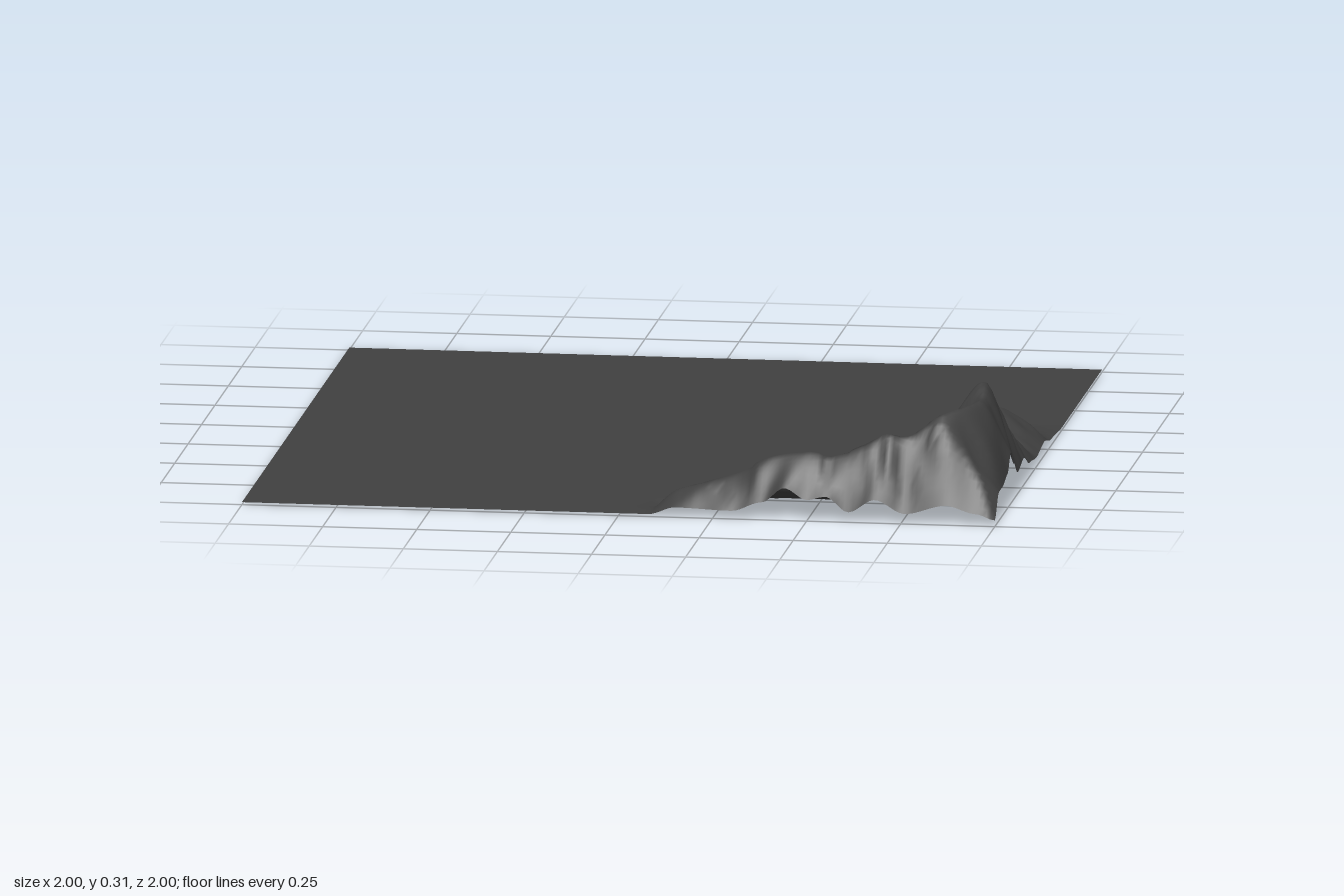
import * as THREE from 'three';

const BASE = 0.01;   // level of the flat ground
const CELLS = 180;

// Crest stations: x, z, height above the ground, width of the inner slope
const CREST = [
  [0.08, 0.93, 0, 0.16], [0.14, 0.93, 0.05, 0.17], [0.2, 0.93, 0.07, 0.17], [0.3, 0.92, 0.1, 0.17],
  [0.4, 0.92, 0.15, 0.17], [0.5, 0.92, 0.165, 0.17], [0.56, 0.92, 0.155, 0.18], [0.65, 0.915, 0.19, 0.2],
  [0.7, 0.91, 0.215, 0.22], [0.76, 0.9, 0.21, 0.24], [0.84, 0.87, 0.26, 0.28], [0.91, 0.79, 0.275, 0.29],
  [0.93, 0.7, 0.275, 0.28], [0.92, 0.62, 0.3, 0.27], [0.92, 0.55, 0.27, 0.26], [0.91, 0.49, 0.215, 0.25],
  [0.9, 0.43, 0.19, 0.25], [0.89, 0.33, 0.155, 0.24], [0.87, 0.24, 0.095, 0.22], [0.87, 0.18, 0.092, 0.2],
  [0.88, 0.08, 0.118, 0.2], [0.88, 0, 0.09, 0.18], [0.88, -0.1, 0.03, 0.16], [0.89, -0.19, 0.01, 0.13],
  [0.9, -0.27, 0, 0.1],
];

// Height of the cut borders: position, height
const FRONT_EDGE = [[0.08, 0], [0.15, 0.02], [0.3, 0.015], [0.38, 0.04], [0.44, 0.08], [0.5, 0.05], [0.55, 0.06],
  [0.61, 0.02], [0.68, 0.055], [0.76, 0.02], [0.87, 0.045], [0.95, 0.025], [1, 0.01]];
const SIDE_EDGE = [[-0.26, 0], [-0.05, 0.01], [0.08, 0.03], [0.22, 0.018], [0.35, 0.03], [0.46, 0.065], [0.57, 0.05],
  [0.65, 0.09], [0.7, 0.13], [0.76, 0.085], [0.85, 0.07], [0.92, 0.07], [1, 0.01]];

// Smooth lookup in a table of [position, value]
function lookup(table, p) {
  if (p <= table[0][0]) return table[0][1];
  for (let i = 1; i < table.length; i++) {
    const [a, va] = table[i - 1], [b, vb] = table[i];
    if (p <= b) return THREE.MathUtils.lerp(va, vb, THREE.MathUtils.smoothstep(p, a, b));
  }
  return table[table.length - 1][1];
}

// Inner slopes as [fraction of width, fraction of height]
const TERRACED = [[0, 1], [0.38, 0.3], [0.64, 0.24], [0.72, 0.27], [1, 0]];
const ROUNDED = [[0, 1], [0.55, 0.42], [1, 0]];

function sampleCrest(count) {
  const line = new THREE.CatmullRomCurve3(CREST.map(([x, z, h]) => new THREE.Vector3(x, h, z)), false, 'catmullrom');
  const widths = new THREE.CatmullRomCurve3(CREST.map((c) => new THREE.Vector3(c[3], 0, 0)), false, 'catmullrom');
  return Array.from({ length: count + 1 }, (_, i) => {
    const t = i / count;
    return { t, p: line.getPoint(t), dir: line.getTangent(t), width: widths.getPoint(t).x };
  });
}

function heightAt(x, z, crest) {
  if (x < -0.1 || z < -0.45 || (x < 0.45 && z < 0.6)) return 0;
  // nearest point of the crest in plan
  let near = 0, best = Infinity;
  crest.forEach(({ p }, i) => {
    const d = (x - p.x) ** 2 + (z - p.z) ** 2;
    if (d < best) { best = d; near = i; }
  });
  if (near === 0 || near === crest.length - 1) return 0;
  const { t, p, dir, width } = crest[near];
  const d = Math.sqrt(best);
  const h = Math.max(0, p.y);
  const ripple = Math.sin(t * 95 + d * 14) + 0.6 * Math.sin(t * 171 - d * 23 + 1);
  const outer = dir.x * (z - p.z) - dir.z * (x - p.x) > 0;

  if (outer) {
    // steep face falling from the crest to the uneven border
    const ex = 1 - x + 1e-4, ez = 1 - z + 1e-4;
    const wx = 1 / (ex * ex), wz = 1 / (ez * ez);
    const edge = (lookup(SIDE_EDGE, z) * wx + lookup(FRONT_EDGE, x) * wz) / (wx + wz);
    const f = d / (d + Math.min(ex, ez));
    return THREE.MathUtils.lerp(h, edge, f ** 1.3) + 0.04 * h * ripple * Math.sin(Math.PI * f);
  }
  // inner slope: terraced along the front arm, rounded along the side arm
  const u = Math.min(1, d / width);
  const blend = THREE.MathUtils.smoothstep(t, 0.36, 0.55);
  const slope = THREE.MathUtils.lerp(lookup(TERRACED, u), lookup(ROUNDED, u), blend);
  return h * (slope + 0.045 * ripple * Math.sin(Math.PI * u));
}

export function createModel() {
  const group = new THREE.Group();
  group.name = 'terrain';

  // Square ground sheet raised into an L-shaped mountain ridge at one corner
  const geometry = new THREE.PlaneGeometry(2, 2, CELLS, CELLS).rotateX(-Math.PI / 2);
  const crest = sampleCrest(240);
  const pos = geometry.attributes.position;
  for (let i = 0; i < pos.count; i++) {
    const x = pos.getX(i), z = pos.getZ(i);
    // small hollow where the terrace begins
    const hollow = 0.01 * Math.exp(-(((x - 0.1) / 0.025) ** 2) - ((z - 0.85) / 0.05) ** 4);
    pos.setY(i, Math.max(0, BASE + heightAt(x, z, crest) - hollow));
  }
  geometry.computeVertexNormals();

  const ground = new THREE.Mesh(geometry, new THREE.MeshStandardMaterial({ color: 0x404040, side: THREE.DoubleSide }));
  ground.name = 'groundWithRidge';
  group.add(ground);
  return group;
}
